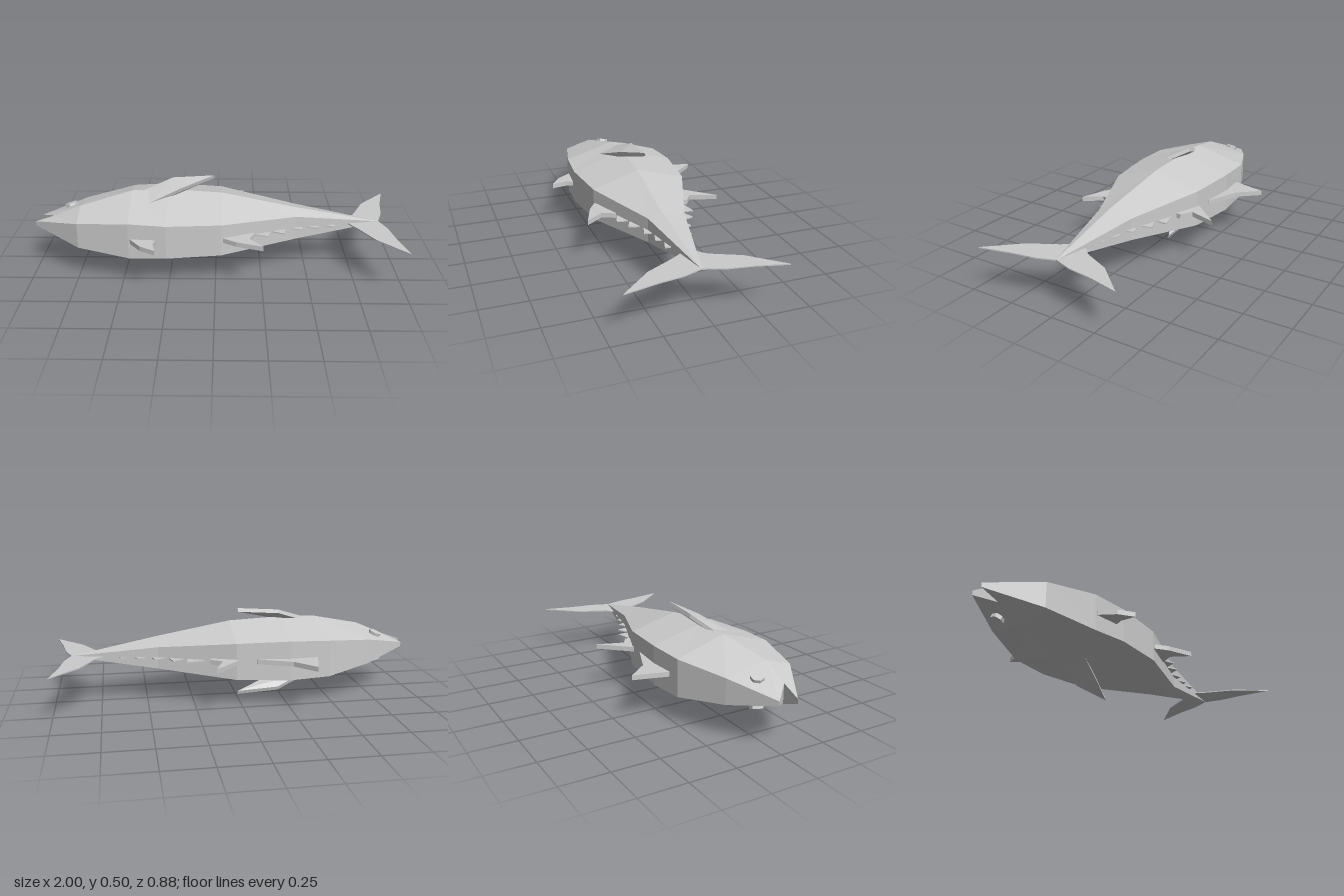
import * as THREE from 'three';
import { ConvexGeometry } from 'three/addons/geometries/ConvexGeometry.js';

const MID = 0.25; // height of the fish's plane of symmetry (it lies on its side)

export function createModel() {
  const group = new THREE.Group();
  const material = new THREE.MeshStandardMaterial({ color: 0xcccccc, flatShading: true });

  const add = (name, geometry) => {
    const mesh = new THREE.Mesh(geometry, material);
    mesh.name = name;
    group.add(mesh);
    return mesh;
  };

  // Body: six-sided rings; each station gives [x, z, half width] of back, flank ridge and belly
  const stations = [
    [[-0.98, -0.01, 0.012], [-0.89, 0.085, 0.05], [-1, 0.08, 0.012]], // jaws with mouth notch
    [[-0.74, -0.14, 0.068], [-0.74, 0.095, 0.115], [-0.74, 0.24, 0.07]],
    [[-0.48, -0.25, 0.1], [-0.46, 0.03, 0.18], [-0.46, 0.303, 0.1]],
    [[-0.26, -0.263, 0.108], [-0.26, 0.025, 0.185], [-0.26, 0.317, 0.093]],
    [[0.03, -0.235, 0.1], [0.03, 0.03, 0.17], [0.03, 0.285, 0.088]],
    [[0.44, -0.08, 0.06], [0.44, 0.047, 0.092], [0.44, 0.12, 0.066]],
    [[0.9, 0.026, 0.003], [0.9, 0.03, 0.004], [0.9, 0.034, 0.003]],
  ];
  const positions = [];
  const index = [];
  const quad = (a, b, c, d) => index.push(a, b, c, a, c, d);
  for (const s of stations) {
    for (const [x, z, w] of s) positions.push(x, MID + w, z);
    for (const [x, z, w] of [...s].reverse()) positions.push(x, MID - w, z);
  }
  for (let i = 0; i < stations.length - 1; i++) {
    for (let j = 0; j < 6; j++) {
      const k = (j + 1) % 6;
      quad(i * 6 + j, i * 6 + k, i * 6 + 6 + k, i * 6 + 6 + j);
    }
  }
  // mouth faces and tail end
  quad(0, 5, 4, 1);
  quad(1, 4, 3, 2);
  const t = (stations.length - 1) * 6;
  quad(t, t + 1, t + 4, t + 5);
  quad(t + 1, t + 2, t + 3, t + 4);
  const indexed = new THREE.BufferGeometry();
  indexed.setAttribute('position', new THREE.Float32BufferAttribute(positions, 3));
  indexed.setIndex(index);
  const body = indexed.toNonIndexed();
  body.computeVertexNormals();
  add('body', body);

  // Fins in the symmetry plane: outlines of [x, z]
  const fin = (name, outline, thickness) => {
    const shape = new THREE.Shape(outline.map(([x, z]) => new THREE.Vector2(x, z)));
    const geometry = new THREE.ExtrudeGeometry(shape, { depth: thickness, bevelEnabled: false });
    geometry.rotateX(Math.PI / 2).translate(0, MID + thickness / 2, 0);
    return add(name, geometry);
  };
  fin('firstDorsalFin', [[-0.42, -0.22], [-0.36, -0.44], [-0.26, -0.325], [-0.08, -0.25], [-0.08, -0.2]], 0.026);
  fin('secondDorsalFin', [[0, -0.2], [0.01, -0.235], [0.16, -0.395], [0.11, -0.25], [0.17, -0.21], [0.16, -0.14]], 0.026);
  fin('pelvicFin', [[-0.45, 0.28], [-0.45, 0.305], [-0.39, 0.385], [-0.31, 0.435], [-0.325, 0.355], [-0.3, 0.28]], 0.026);
  fin('analFin', [[0.04, 0.25], [0.04, 0.285], [0.11, 0.33], [0.25, 0.38], [0.18, 0.285], [0.21, 0.22], [0.18, 0.18]], 0.026);
  fin('tailFin', [
    [0.73, -0.01], [0.78, -0.06], [0.85, -0.21], [1, -0.375], [0.96, -0.21], [0.94, -0.07], [0.905, 0.03],
    [0.94, 0.13], [0.96, 0.26], [1, 0.435], [0.85, 0.27], [0.77, 0.12], [0.73, 0.06],
  ], 0.006);

  // Finlets: leading root, tip and trailing root
  const backFinlets = [
    [0.19, -0.175, 0.29, -0.195, 0.285, -0.13], [0.3, -0.13, 0.365, -0.16, 0.385, -0.09],
    [0.4, -0.09, 0.46, -0.11, 0.475, -0.065], [0.49, -0.06, 0.55, -0.075, 0.57, -0.045],
    [0.58, -0.04, 0.64, -0.045, 0.655, -0.015],
  ];
  const bellyFinlets = [
    [0.2, 0.21, 0.285, 0.235, 0.3, 0.17], [0.3, 0.17, 0.37, 0.2, 0.385, 0.135],
    [0.4, 0.13, 0.47, 0.15, 0.48, 0.105], [0.49, 0.105, 0.56, 0.125, 0.57, 0.085],
    [0.58, 0.085, 0.65, 0.11, 0.66, 0.065],
  ];
  const finlets = (name, list) => list.forEach(([ax, az, bx, bz, cx, cz], i) =>
    fin(name + (i + 1), [[ax, az], [bx, bz], [cx, cz], [(ax + cx) / 2, 0.03]], 0.006));
  finlets('backFinlet', backFinlets);
  finlets('bellyFinlet', bellyFinlets);

  // Pectoral fins and eyes, mirrored on the two flanks: [x, height above the mid plane, z]
  const blade = [[-0.42, 0.17, 0.03], [-0.24, 0.235, -0.028], [-0.01, 0.25, -0.024], [-0.18, 0.21, 0.06], [-0.35, 0.152, 0.13]];
  for (const [side, s] of [['upper', 1], ['lower', -1]]) {
    const points = [];
    for (const [x, h, z] of blade) {
      points.push(new THREE.Vector3(x, MID + s * h, z));
      points.push(new THREE.Vector3(x, MID + s * (h - 0.02), z - 0.006));
    }
    add(side + 'PectoralFin', new ConvexGeometry(points));

    const eye = add(side + 'Eye', new THREE.CylinderGeometry(0.035, 0.035, 0.024, 7));
    eye.position.set(-0.815, MID + s * 0.072, -0.015);
    eye.quaternion.setFromUnitVectors(
      new THREE.Vector3(0, 1, 0), new THREE.Vector3(-0.35, s, -0.18).normalize());
  }
  return group;
}
